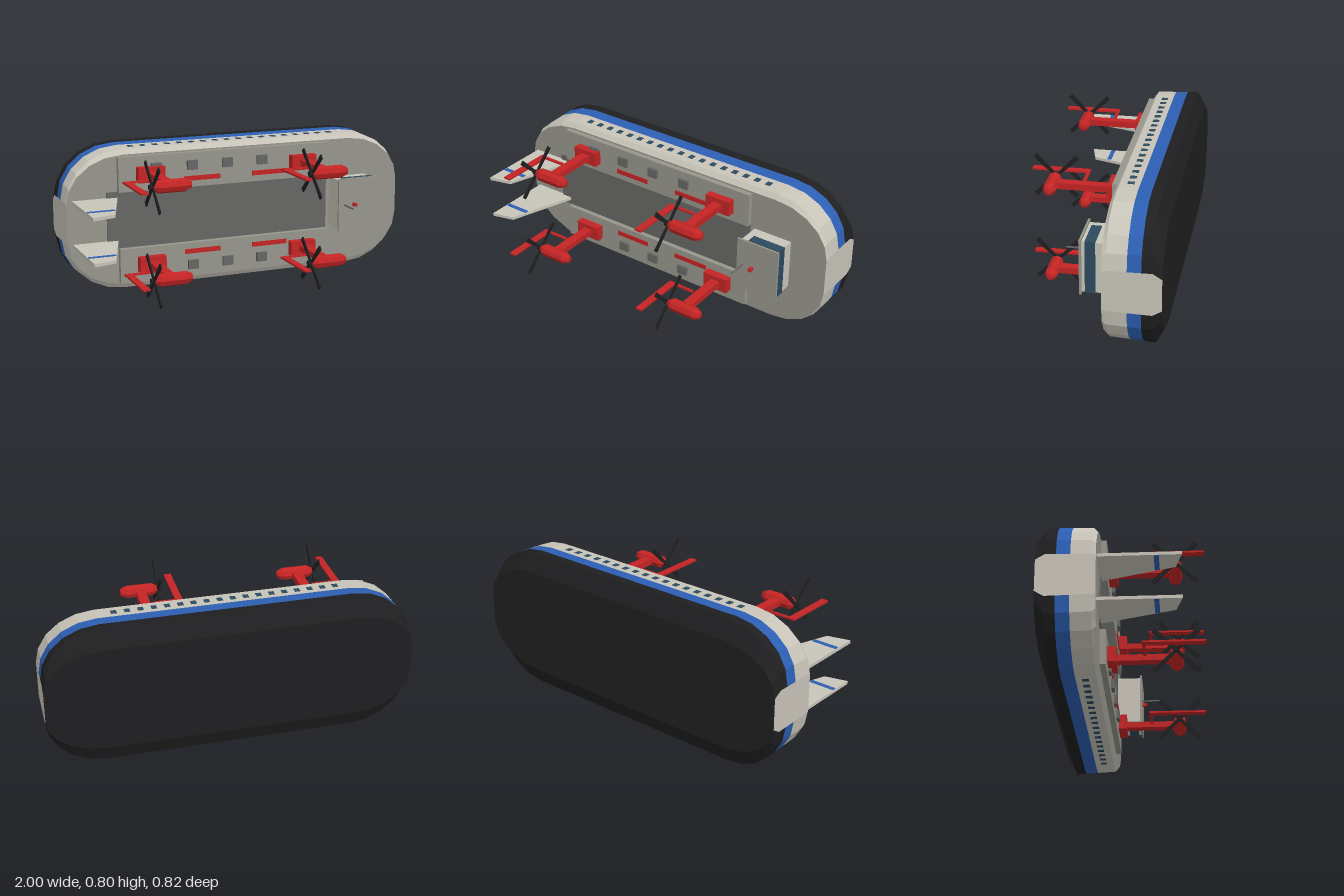
import * as THREE from 'three';

const mat = (color, side = THREE.FrontSide) =>
  new THREE.MeshStandardMaterial({ color, flatShading: true, side });
const M = {
  hull: mat(0xc8c4b9), deck: mat(0x96968c), well: mat(0x666664), black: mat(0x1f1f21),
  blue: mat(0x2c5fb3), red: mat(0xc42424), glass: mat(0x2c4a5e),
};
const CY = 0.4; // height of the hull's long axis

function add(parent, name, geometry, material, x = 0, y = 0, z = 0) {
  const mesh = new THREE.Mesh(geometry, material);
  mesh.name = name;
  mesh.position.set(x, y, z);
  parent.add(mesh);
  return mesh;
}

// Box given by its limits on each axis
function box(parent, name, material, [x0, x1], [y0, y1], [z0, z1]) {
  return add(parent, name, new THREE.BoxGeometry(x1 - x0, y1 - y0, z1 - z0), material,
    (x0 + x1) / 2, (y0 + y1) / 2, (z0 + z1) / 2);
}

// Hull outline: rounded corners joined by straight sides and flat ends
const FLAT = 0.115, RX = 0.32, STEPS = 5;
function outline(half) {
  const s = half / 0.4, pts = [];
  for (let q = 0; q < 4; q++) {
    const sx = q === 0 || q === 3 ? 1 : -1, sy = q < 2 ? 1 : -1;
    for (let i = 0; i <= STEPS; i++) {
      const a = (q + i / STEPS) * Math.PI / 2;
      pts.push(new THREE.Vector2(sx * (1 - RX) + RX * Math.cos(a),
        s * (sy * FLAT + (0.4 - FLAT) * Math.sin(a))));
    }
  }
  return pts;
}

// Faces joining successive rings [z, half height]; keep picks end panels or the rest
function loft(rings, keep) {
  const pos = [];
  for (let r = 0; r + 1 < rings.length; r++) {
    const [z0, h0] = rings[r], [z1, h1] = rings[r + 1];
    const A = outline(h0), B = outline(h1), n = A.length;
    for (let i = 0; i < n; i++) {
      const j = (i + 1) % n;
      const end = Math.abs(A[i].x) > 0.999 && Math.abs(A[j].x) > 0.999;
      if (!keep(end)) continue;
      const a = [A[i].x, A[i].y, z0], b = [A[j].x, A[j].y, z0];
      const c = [B[j].x, B[j].y, z1], d = [B[i].x, B[i].y, z1];
      pos.push(...a, ...b, ...c, ...a, ...c, ...d);
    }
  }
  const g = new THREE.BufferGeometry();
  g.setAttribute('position', new THREE.Float32BufferAttribute(pos, 3));
  g.computeVertexNormals();
  return g;
}

function buildHull(root) {
  const g = new THREE.Group();
  g.name = 'hull';
  root.add(g);
  const skirt = [[-0.412, 0.3], [-0.365, 0.4], [-0.31, 0.397]];
  const band = [[-0.31, 0.397], [-0.24, 0.393]];
  const upper = [[-0.24, 0.393], [-0.135, 0.387], [-0.115, 0.36]];
  add(g, 'skirt', loft(skirt, e => !e), M.black, 0, CY);
  add(g, 'stripe', loft(band, e => !e), M.blue, 0, CY);
  add(g, 'upperHull', loft(upper, () => true), M.hull, 0, CY);
  add(g, 'endPanels', loft([...skirt, band[1]], e => e), M.hull, 0, CY);
  add(g, 'deck', new THREE.ShapeGeometry(new THREE.Shape(outline(0.36))), M.deck, 0, CY, -0.115);
  const base = new THREE.ShapeGeometry(new THREE.Shape(outline(0.3)));
  base.rotateY(Math.PI);
  add(g, 'base', base, M.black, 0, CY, -0.412);

  // Windows along both long sides
  for (const s of [-1, 1])
    for (let i = 0; i < 18; i++)
      add(g, 'sideWindow', new THREE.BoxGeometry(0.03, 0.008, 0.035), M.glass,
        -0.617 + i * 0.0708, CY + s * 0.388, -0.192);
}

function buildDeckDetails(root) {
  box(root, 'cargoWell', M.well, [-0.78, 0.535], [0.245, 0.56], [-0.118, -0.107]);
  for (const s of [-1, 1]) {
    const at = (d, h) => [CY + s * d - h, CY + s * d + h];
    box(root, 'sideDeck', M.deck, [-0.717, 0.535], at(0.255, 0.096), [-0.12, -0.085]);
    for (const x of [-0.345, 0.062])
      box(root, 'redStrip', M.red, [x, x + 0.213], at(0.207, 0.013), [-0.087, -0.08]);
    for (let i = 0; i < 4; i++) {
      const x = -0.505 + i * 0.2075;
      box(root, 'hatch', M.well, [x - 0.03, x + 0.03], at(0.282, 0.026), [-0.088, -0.068]);
    }
  }
}

function buildCabin(root) {
  const g = new THREE.Group();
  g.name = 'cabin';
  root.add(g);
  box(g, 'cabinBody', M.hull, [0.56, 0.785], [0.262, 0.542], [-0.118, 0.027]);
  box(g, 'cabinWindow', M.glass, [0.6, 0.789], [0.258, 0.546], [-0.046, 0.008]);
  box(g, 'cabinRoof', M.deck, [0.548, 0.8], [0.25, 0.555], [0.025, 0.036]);
  box(g, 'mast', M.well, [0.581, 0.588], [0.398, 0.405], [0.03, 0.145]);
  box(g, 'beacon', M.red, [0.636, 0.654], [0.393, 0.411], [0.03, 0.063]);
}

function buildFins(root) {
  const shape = new THREE.Shape([[-0.97, -0.12], [-0.715, -0.12], [-0.845, 0.27], [-0.97, 0.303]]
    .map(([x, z]) => new THREE.Vector2(x, z)));
  for (const y of [0.28, 0.52]) {
    const geo = new THREE.ExtrudeGeometry(shape, { depth: 0.017, bevelEnabled: false });
    geo.rotateX(Math.PI / 2); // shape's second axis becomes z
    add(root, 'fin', geo, M.hull, 0, y + 0.0085, 0);
    box(root, 'finStripe', M.blue, [-0.966, -0.82], [y - 0.0105, y + 0.0105], [0.165, 0.19]);
  }
}

// Pylon, pod, propeller and rudder, centred on its column
function buildThruster(root, x, y) {
  const g = new THREE.Group();
  g.name = 'thruster';
  g.position.set(x, y, 0);
  root.add(g);
  box(g, 'pylonBase', M.red, [-0.078, 0.073], [-0.042, 0.042], [-0.088, -0.04]);
  box(g, 'pylon', M.red, [-0.027, 0.027], [-0.017, 0.017], [-0.045, 0.25]);

  const profile = [[0, -0.1], [0.018, -0.1], [0.036, -0.07], [0.036, 0.075], [0.02, 0.108], [0, 0.112]]
    .map(([r, h]) => new THREE.Vector2(r, h));
  const pod = new THREE.LatheGeometry(profile, 8);
  pod.rotateZ(-Math.PI / 2);
  add(g, 'pod', pod, M.red, 0, 0, 0.263);

  const prop = new THREE.Group();
  prop.name = 'propeller';
  prop.position.set(-0.102, 0, 0.263);
  g.add(prop);
  const hub = new THREE.CylinderGeometry(0.015, 0.015, 0.026, 8);
  hub.rotateZ(Math.PI / 2);
  add(prop, 'hub', hub, M.black, -0.006);
  for (let i = 0; i < 4; i++) {
    const blade = new THREE.BoxGeometry(0.008, 0.155, 0.026);
    blade.translate(0, 0.0825, 0);
    const p = blade.attributes.position;
    for (let k = 0; k < p.count; k++) if (p.getY(k) < 0.05) p.setZ(k, p.getZ(k) * 0.6); // narrow root
    add(prop, 'blade', blade, M.black).rotation.x = Math.PI / 4 + i * Math.PI / 2;
  }

  box(g, 'rudder', M.red, [-0.21, -0.17], [-0.005, 0.005], [0.105, 0.412]);
  box(g, 'rudderArm', M.red, [-0.21, -0.05], [-0.005, 0.005], [0.095, 0.111]);
}

export function createModel() {
  const root = new THREE.Group();
  root.name = 'hovercraft';
  buildHull(root);
  buildDeckDetails(root);
  buildCabin(root);
  buildFins(root);
  for (const x of [-0.54, 0.367]) for (const y of [0.152, 0.652]) buildThruster(root, x, y);
  return root;
}
